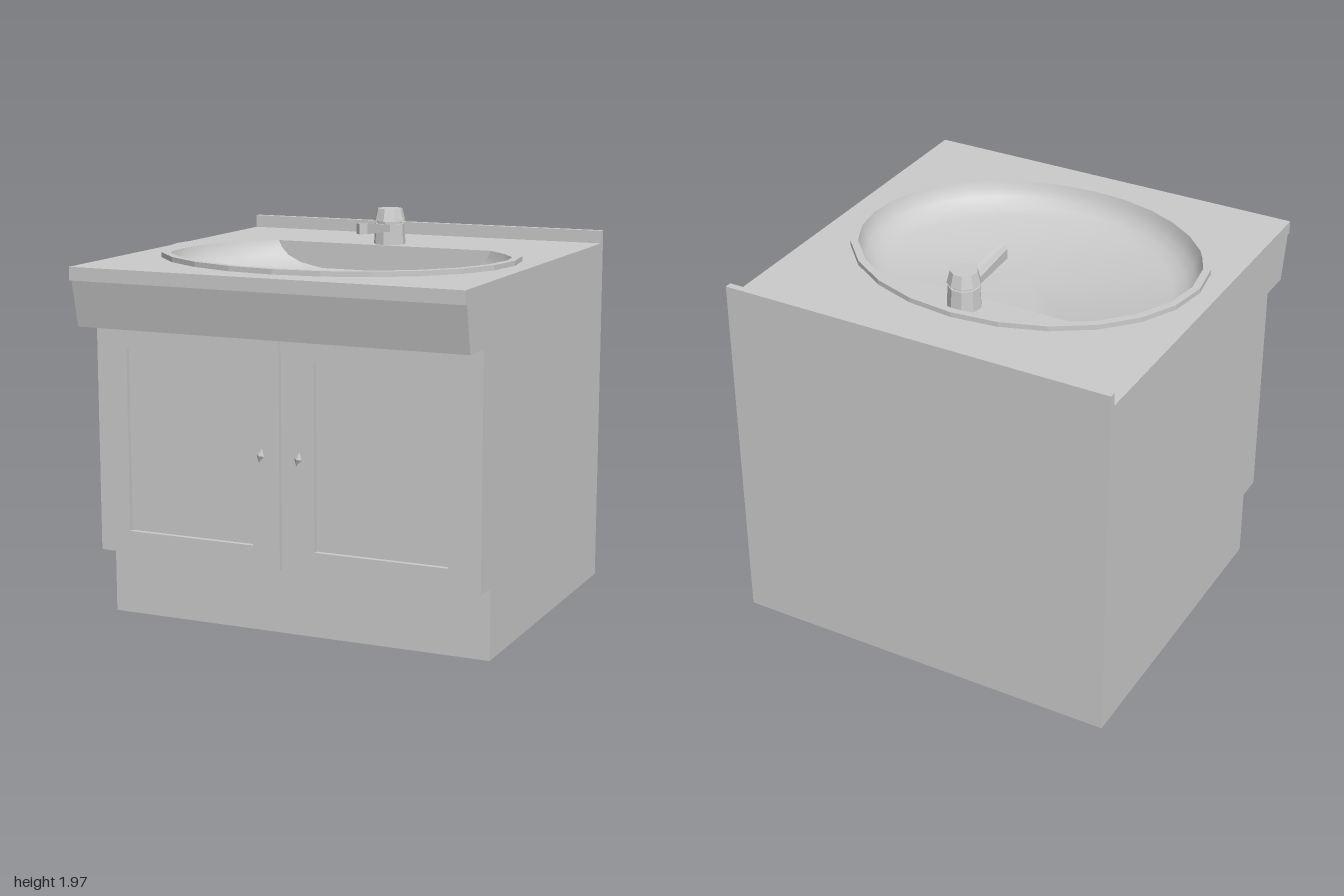
import * as THREE from 'three';
import { toCreasedNormals } from 'three/addons/utils/BufferGeometryUtils.js';

const CZ = 0.11;       // centre of the basin in z
const CHORD = -0.42;   // straight back edge of the basin
const ARC = 24;

// Basin outline: an ellipse cut off by the straight back edge.
function outline(rx, rz) {
  const a0 = Math.asin((CHORD - CZ) / rz), pts = [];
  for (let i = 0; i <= ARC; i++) {
    const a = a0 + (Math.PI - 2 * a0) * i / ARC;
    pts.push([rx * Math.cos(a), CZ + rz * Math.sin(a)]);
  }
  return pts;
}

const ellipse = (rx, rz, n = 24) => Array.from({ length: n }, (_, i) => {
  const a = (i / n) * Math.PI * 2;
  return [rx * Math.cos(a), CZ + rz * Math.sin(a)];
});

const toPoints = (pts, flip = 1) => pts.map(([a, b]) => new THREE.Vector2(a, flip * b));
const rect = (x0, x1, y0, y1) => [[x0, y0], [x1, y0], [x1, y1], [x0, y1]];

function extrude(pts, depth, hole, flip = 1) {
  const shape = new THREE.Shape(toPoints(pts, flip));
  if (hole) shape.holes.push(new THREE.Path(toPoints(hole, flip)));
  return new THREE.ExtrudeGeometry(shape, { depth, bevelEnabled: false });
}

// (x, z) outline raised from y0 to y1
const slab = (pts, y0, y1, hole) =>
  extrude(pts, y1 - y0, hole, -1).rotateX(-Math.PI / 2).translate(0, y0, 0);

// (z, y) profile swept across the width, centred on x = 0
const sweepX = (pts, width) =>
  extrude(pts, width).rotateY(-Math.PI / 2).translate(width / 2, 0, 0);

// Bowl skin lofted through shrinking outlines and closed by a flat floor
function bowlGeometry() {
  const rings = [
    [0.875, 0.72, 1.785], [0.865, 0.71, 1.75], [0.84, 0.69, 1.71],
    [0.795, 0.655, 1.675], [0.73, 0.6, 1.65],
  ];
  const pos = [], idx = [], n = ARC + 1;
  for (const [rx, rz, y] of rings) for (const [x, z] of outline(rx, rz)) pos.push(x, y, z);
  const last = (rings.length - 1) * n, centre = rings.length * n;
  pos.push(0, 1.65, CZ);
  for (let i = 0; i < n; i++) {
    const j = (i + 1) % n;
    for (let r = 0; r < last; r += n) {
      idx.push(r + i, r + n + i, r + j, r + j, r + n + i, r + n + j);
    }
    idx.push(centre, last + j, last + i);
  }
  const g = new THREE.BufferGeometry();
  g.setAttribute('position', new THREE.Float32BufferAttribute(pos, 3));
  g.setIndex(idx);
  return toCreasedNormals(g, 0.6);
}

export function createModel() {
  const model = new THREE.Group();
  model.name = 'washbasinCabinet';
  const grey = new THREE.MeshStandardMaterial({ color: 0xcccccc });
  const faceted = new THREE.MeshStandardMaterial({ color: 0xcccccc, flatShading: true });
  const skin = new THREE.MeshStandardMaterial({ color: 0xcccccc, side: THREE.DoubleSide });
  const add = (name, geometry, material = grey, parent = model) => {
    const mesh = new THREE.Mesh(geometry, material);
    mesh.name = name;
    parent.add(mesh);
    return mesh;
  };

  // Cabinet with toe kick and sloping apron
  add('cabinet', sweepX([
    [-1, 0], [0.63, 0], [0.63, 0.35], [0.735, 0.35], [0.735, 1.49],
    [0.93, 1.49], [0.98, 1.72], [0.88, 1.72], [0.88, 1.62], [-1, 1.62],
  ], 2));

  // Countertop, with the basin opening cut through
  const opening = outline(0.875, 0.72);
  add('basinSurround', slab(rect(-1, 1, -1, 0.88), 1.62, 1.72, opening));
  add('countertop', slab(rect(-1, 1, -1, 1), 1.72, 1.785, opening));
  add('backsplash', new THREE.BoxGeometry(2, 0.065, 0.035).translate(0, 1.8175, -0.9825));

  // Basin
  add('basinBowl', bowlGeometry(), skin);
  add('basinRim', slab(ellipse(0.91, 0.755), 1.785, 1.81, ellipse(0.872, 0.718)));

  // Doors with recessed panels, and knobs
  for (const [side, s] of [['left', 1], ['right', -1]]) {
    const span = (a, b, y0, y1) => rect(Math.min(s * a, s * b), Math.max(s * a, s * b), y0, y1);
    add(side + 'Door', extrude(span(0.02, 1, 0.35, 1.49), 0.025, span(0.162, 0.838, 0.46, 1.375))
      .translate(0, 0, 0.735));
    const knob = add(side + 'Knob', new THREE.OctahedronGeometry(1).scale(0.02, 0.036, 0.018), faceted);
    knob.position.set(s * 0.098, 0.915, 0.802);
    knob.rotation.z = -0.25;
  }
  add('topRail', new THREE.BoxGeometry(0.04, 0.09, 0.012).translate(0, 1.445, 0.741));

  // Faucet
  const faucet = new THREE.Group();
  faucet.name = 'faucet';
  model.add(faucet);
  const drum = (name, rTop, rBottom, y0, y1) =>
    add(name, new THREE.CylinderGeometry(rTop, rBottom, y1 - y0, 9)
      .translate(0, (y0 + y1) / 2, -0.515), faceted, faucet);
  drum('faucetBody', 0.077, 0.083, 1.785, 1.89);
  drum('faucetNeck', 0.065, 0.065, 1.885, 1.91);
  drum('faucetHandle', 0.066, 0.082, 1.905, 1.968);

  // Spout, with its tip drawn to a point along the middle
  const spout = new THREE.BoxGeometry(0.06, 1, 1, 2, 1, 1);
  const p = spout.attributes.position;
  for (let i = 0; i < p.count; i++) {
    const tip = p.getZ(i) > 0, top = p.getY(i) > 0;
    const middle = Math.abs(p.getX(i)) < 0.01;
    p.setY(i, tip ? (top ? 1.922 : 1.87) : (top ? 1.886 : 1.852));
    p.setZ(i, tip ? (middle ? -0.13 : -0.16) : -0.48);
  }
  add('faucetSpout', spout, faceted, faucet);

  return model;
}
